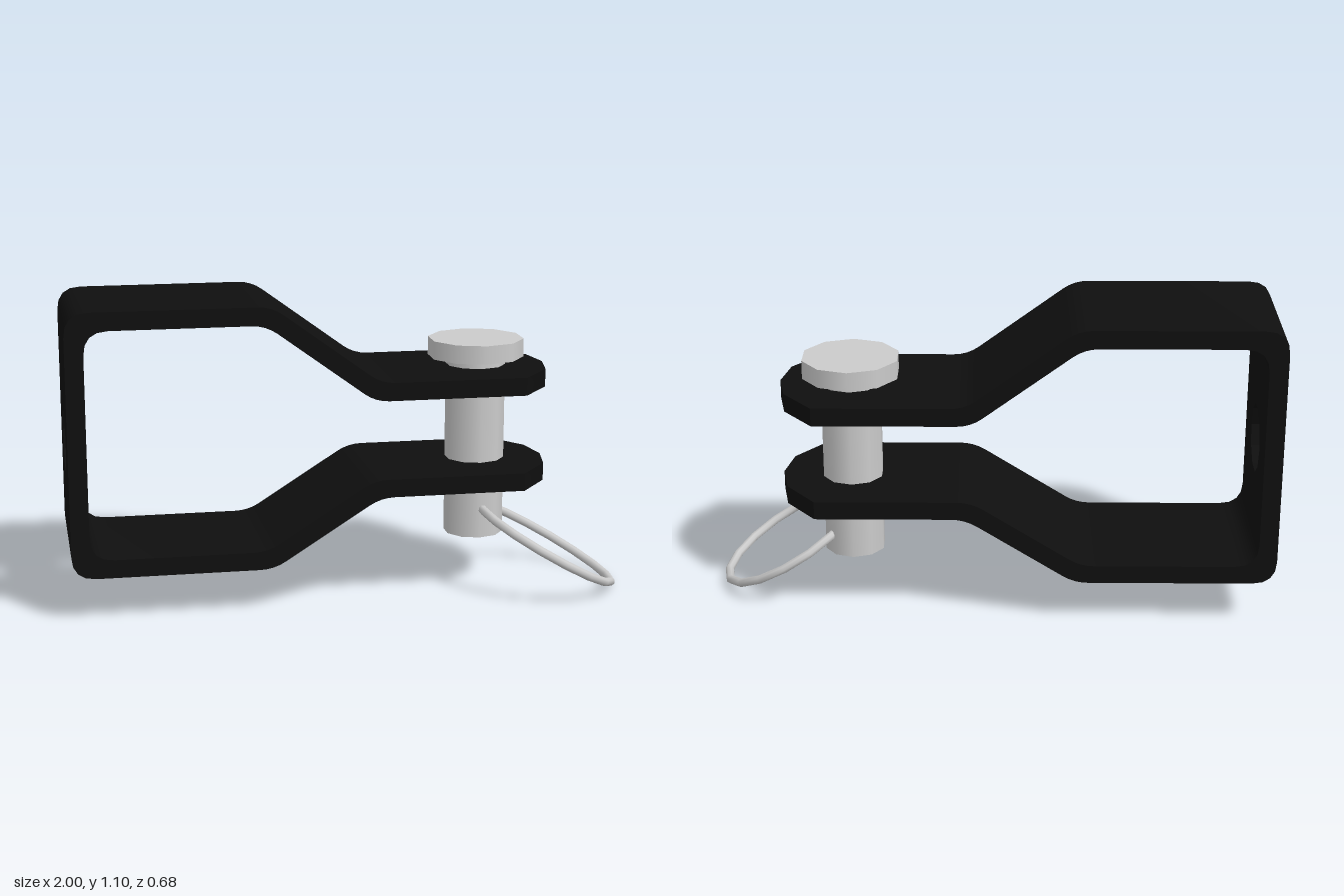
import * as THREE from 'three';
import { toCreasedNormals } from 'three/addons/utils/BufferGeometryUtils.js';

const T = 0.065;            // strap thickness
const Z0 = -0.34, Z1 = 0.2; // strap edges
const ZC = -0.08;           // pin axis
const TIP_X = 0.62;         // where the arm ends start to taper

const black = new THREE.MeshStandardMaterial({ color: 0x0f0f0f });
const grey = new THREE.MeshStandardMaterial({ color: 0xcccccc });

function addMesh(parent, name, geometry, material) {
  const mesh = new THREE.Mesh(geometry, material);
  mesh.name = name;
  parent.add(mesh);
  return mesh;
}

// Closed outline from [x, y, fillet] corners; a fillet of 0 stays sharp.
function filletedShape(corners) {
  const shape = new THREE.Shape();
  const n = corners.length;
  corners.forEach(([x, y, r], i) => {
    const p = new THREE.Vector2(x, y);
    const toward = (c) => new THREE.Vector2(c[0], c[1]).sub(p).setLength(r).add(p);
    const a = toward(corners[(i + n - 1) % n]);
    const b = toward(corners[(i + 1) % n]);
    if (i === 0) shape.moveTo(a.x, a.y);
    else shape.lineTo(a.x, a.y);
    if (r > 0) shape.quadraticCurveTo(x, y, b.x, b.y);
  });
  shape.closePath();
  return shape;
}

function extrude(shape, depth) {
  const g = new THREE.ExtrudeGeometry(shape, { depth, bevelEnabled: false, curveSegments: 4 });
  return toCreasedNormals(g, 0.6);
}

// Bent arm: s is +1 for upper, -1 for lower; y values are its outer faces.
function armGeometry(s, yBody, yArm, ySeam) {
  const t = s * T;
  const shape = filletedShape([
    [-1, ySeam, 0],
    [-1, yBody, 0.085],
    [-0.29, yBody, 0.05],
    [0.095, yArm, 0.05],
    [TIP_X, yArm, 0],
    [TIP_X, yArm - t, 0],
    [0.074, yArm - t, 0.05],
    [-0.311, yBody - t, 0.05],
    [-1 + T, yBody - t, 0.085],
    [-1 + T, ySeam, 0],
  ]);
  return extrude(shape, Z1 - Z0).translate(0, 0, Z0);
}

// Faceted, tapering end of an arm, topped at yTop.
function tipGeometry(yTop) {
  const outline = [[TIP_X, Z0], [0.725, -0.205], [0.75, -0.07], [0.725, 0.065], [TIP_X, Z1]];
  const shape = new THREE.Shape(outline.map(([x, z]) => new THREE.Vector2(x, z)));
  return extrude(shape, T).rotateX(Math.PI / 2).translate(0, yTop, 0);
}

// Back wall with a ten-sided mounting hole.
function backGeometry(y0, y1) {
  const shape = filletedShape([[Z0, y0, 0], [Z1, y0, 0], [Z1, y1, 0], [Z0, y1, 0]]);
  const hole = [];
  for (let i = 0; i < 10; i++) {
    const a = (i / 10) * Math.PI * 2;
    hole.push(new THREE.Vector2(-0.073 + 0.123 * Math.cos(a), 0.61 + 0.123 * Math.sin(a)));
  }
  shape.holes.push(new THREE.Path(hole));
  return extrude(shape, T).rotateY(-Math.PI / 2).translate(-1 + T, 0, 0);
}

export function createModel() {
  const model = new THREE.Group();
  model.name = 'clevis';

  // Strap
  const strap = new THREE.Group();
  strap.name = 'strap';
  model.add(strap);
  addMesh(strap, 'backWall', backGeometry(0.27, 0.99), black);
  addMesh(strap, 'upperArm', armGeometry(1, 1.103, 0.82, 0.99), black);
  addMesh(strap, 'lowerArm', armGeometry(-1, 0.162, 0.405, 0.27), black);
  addMesh(strap, 'upperTip', tipGeometry(0.82), black);
  addMesh(strap, 'lowerTip', tipGeometry(0.405 + T), black);

  // Pin
  const pin = new THREE.Group();
  pin.name = 'pin';
  pin.position.set(0.5, 0, ZC);
  model.add(pin);
  const shank = addMesh(pin, 'pinShank', new THREE.CylinderGeometry(0.109, 0.109, 0.67, 10), grey);
  shank.position.y = 0.52;
  const head = addMesh(pin, 'pinHead', new THREE.CylinderGeometry(0.175, 0.175, 0.067, 10), grey);
  head.position.y = 0.883;

  // Retaining ring, threaded through the foot of the pin and hanging down
  const ring = addMesh(model, 'retainingRing',
    new THREE.TorusGeometry(0.277, 0.016, 8, 16).rotateX(Math.PI / 2), grey);
  ring.rotation.z = -Math.PI / 6;
  ring.position.set(0.747, 0.156, 0.048);

  return model;
}
